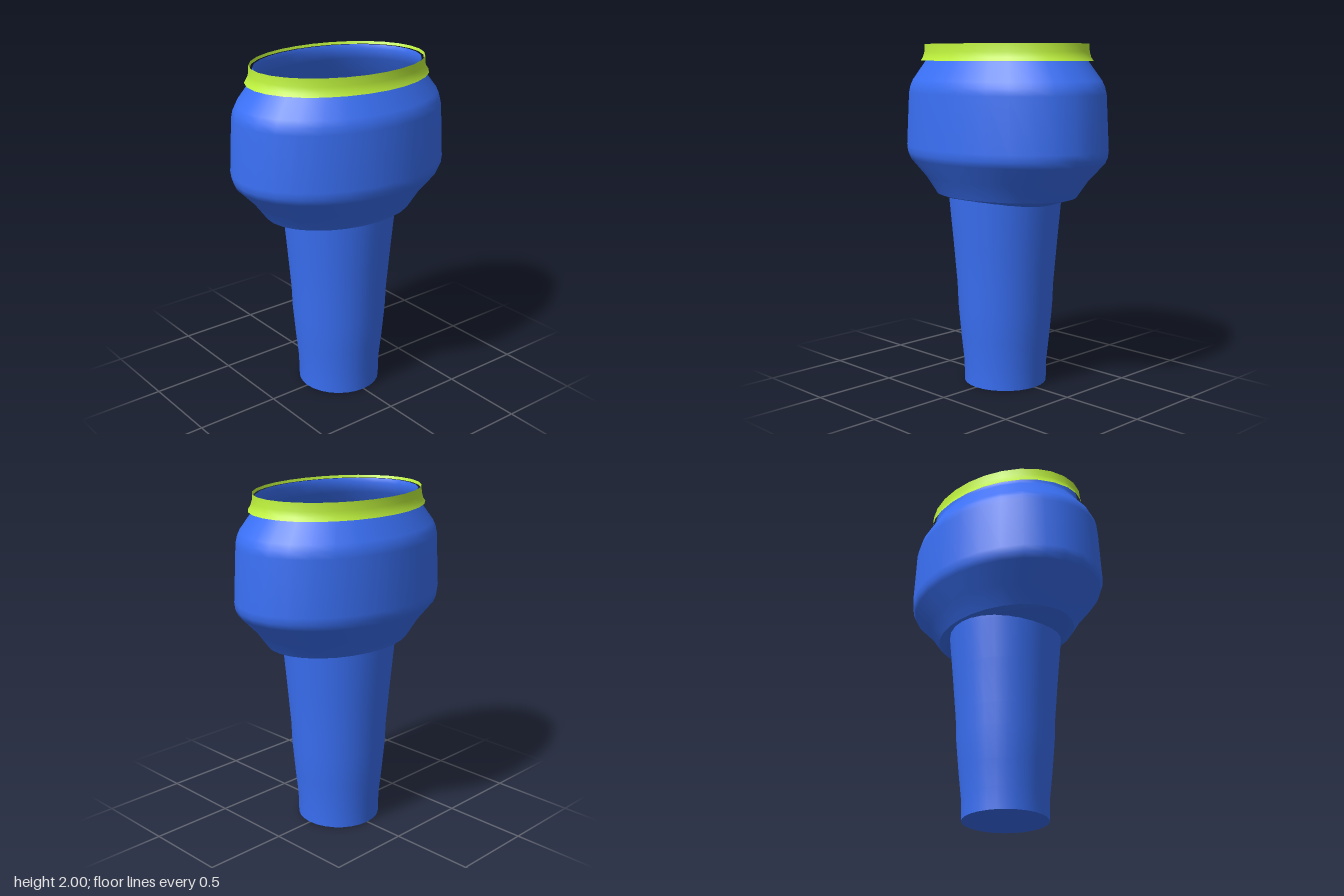
import * as THREE from 'three';

const blue = new THREE.MeshStandardMaterial({ color: 0x3a70f5 });
const lime = new THREE.MeshStandardMaterial({ color: 0xbdf03c });
const SEGMENTS = 28;
const OVAL = 0.75; // depth to width ratio of the oval parts

// Revolves [radius, height] pairs; rising profiles face out, falling ones face in.
function lathe(name, profile, material, depth = 1) {
  const points = profile.map(([r, y]) => new THREE.Vector2(r, y));
  const mesh = new THREE.Mesh(new THREE.LatheGeometry(points, SEGMENTS), material);
  mesh.name = name;
  mesh.scale.z = depth;
  return mesh;
}

export function createModel() {
  const model = new THREE.Group();
  model.name = 'jointedLimb';

  // Tapered round stem, running up inside the oval housing
  const stem = new THREE.Group();
  stem.name = 'stem';
  stem.add(
    lathe('stemBase', [[0, 0], [0.245, 0]], blue),
    lathe('stemWall', [
      [0.245, 0], [0.248, 0.13], [0.264, 0.28], [0.281, 0.47], [0.286, 0.6],
      [0.308, 0.86], [0.33, 1.1], [0.355, 1.4], [0.375, 1.7],
    ], blue),
    lathe('stemRim', [[0.375, 1.7], [0.34, 1.63]], blue),
    lathe('stemTop', [[0.34, 1.63], [0, 1.64]], blue),
  );
  model.add(stem);

  // Joint ball seated in the stem top
  const ball = new THREE.Mesh(new THREE.SphereGeometry(0.22, SEGMENTS, 16), blue);
  ball.name = 'jointBall';
  ball.position.y = 1.645;
  model.add(ball);

  // Oval housing: underside, outer shell with neck, and hollow interior
  const housing = new THREE.Group();
  housing.name = 'housing';
  housing.add(
    lathe('housingUnderside', [[0, 1.06], [0.33, 1.09], [0.465, 1.13]], blue, OVAL),
    lathe('housingShell', [
      [0.465, 1.13], [0.54, 1.23], [0.645, 1.335], [0.661, 1.37], [0.666, 1.41],
      [0.648, 1.72], [0.638, 1.76], [0.62, 1.795], [0.535, 1.9], [0.528, 1.92], [0.515, 1.985],
    ], blue, OVAL),
    lathe('housingInterior', [
      [0.515, 1.985], [0.505, 1.96], [0.51, 1.9], [0.595, 1.78], [0.62, 1.72],
      [0.635, 1.41], [0.615, 1.36], [0.51, 1.25], [0.44, 1.17], [0.2, 1.12],
    ], blue, OVAL),
  );
  model.add(housing);

  // Flared collar around the neck
  const collar = new THREE.Group();
  collar.name = 'collar';
  collar.add(
    lathe('collarBand', [
      [0.565, 1.905], [0.55, 1.925], [0.54, 1.955], [0.537, 2],
    ], lime, OVAL),
    lathe('collarLip', [[0.537, 2], [0.53, 1.985]], lime, OVAL),
  );
  model.add(collar);

  return model;
}
